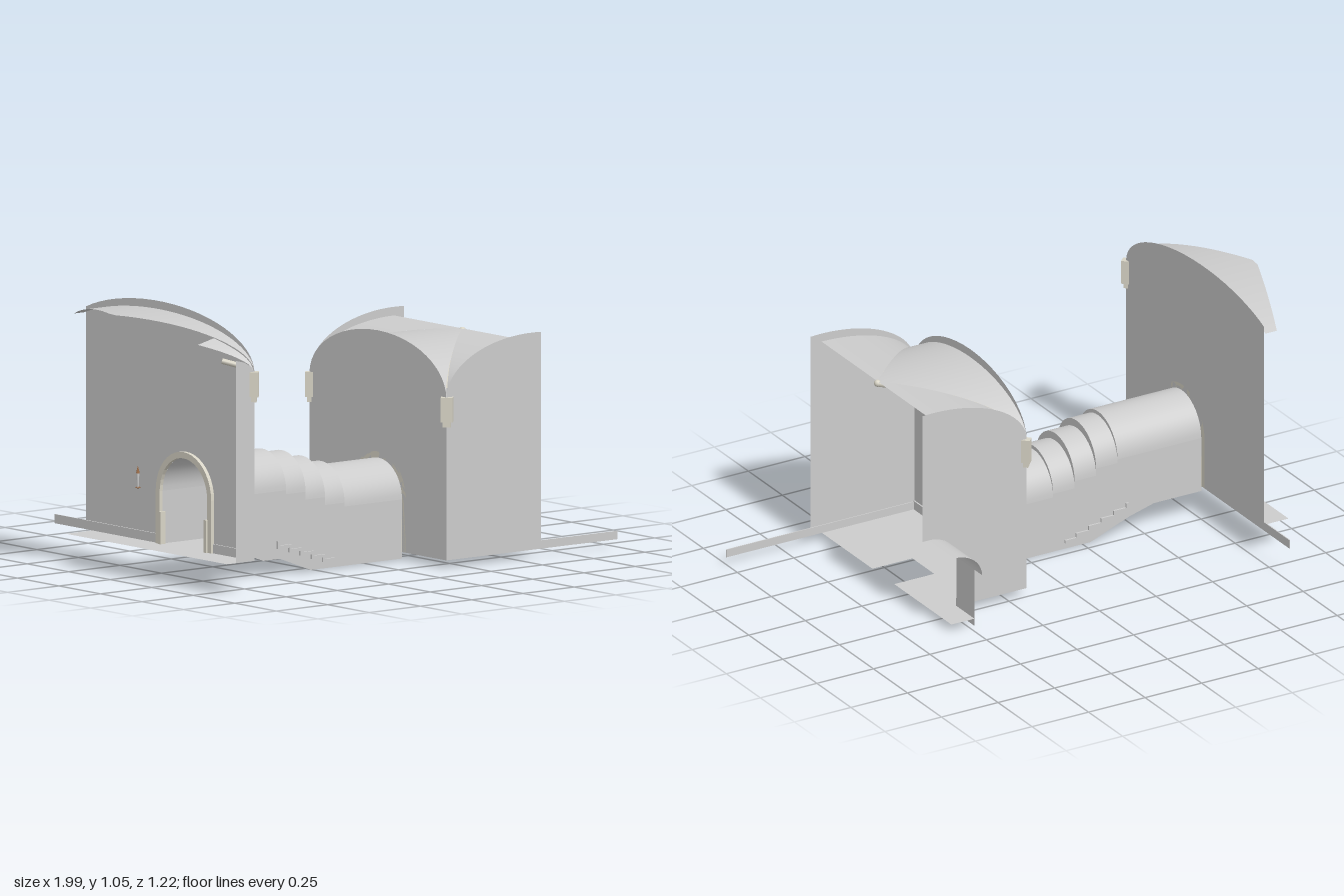
import * as THREE from 'three';

const paint = (color) => new THREE.MeshStandardMaterial({ color, side: THREE.DoubleSide });
const plaster = paint(0xcccccc), stone = paint(0xd8d4c6), wood = paint(0x9a6a44);
const DOOR_Z = 0.175, DOOR_R = 0.143;

function add(parent, name, geometry, material = plaster) {
  const mesh = new THREE.Mesh(geometry, material);
  mesh.name = name;
  parent.add(mesh);
  return mesh;
}

function box(parent, name, x0, x1, y0, y1, z0, z1, material = plaster) {
  const mesh = add(parent, name, new THREE.BoxGeometry(x1 - x0, y1 - y0, z1 - z0), material);
  mesh.position.set((x0 + x1) / 2, (y0 + y1) / 2, (z0 + z1) / 2);
  return mesh;
}

// Smooth sheet from a rule giving [x, y, z] for u, v in 0..1
function sheet(parent, name, nu, nv, rule) {
  const pos = [], index = [];
  for (let i = 0; i <= nu; i++) for (let j = 0; j <= nv; j++) pos.push(...rule(i / nu, j / nv));
  for (let i = 0; i < nu; i++) for (let j = 0; j < nv; j++) {
    const a = i * (nv + 1) + j, b = a + nv + 1;
    index.push(a, b, a + 1, b, b + 1, a + 1);
  }
  const g = new THREE.BufferGeometry();
  g.setAttribute('position', new THREE.Float32BufferAttribute(pos, 3));
  g.setIndex(index);
  g.computeVertexNormals();
  return add(parent, name, g);
}

const shapeOf = (pts) => new THREE.Shape(pts.map(([x, y]) => new THREE.Vector2(x, y)));

// Flat wall facing z
function wallZ(parent, name, pts, z) {
  add(parent, name, new THREE.ShapeGeometry(shapeOf(pts))).position.z = z;
}

// Flat or extruded outline drawn in (z, y) and set at a given x
function wallX(parent, name, shape, x, depth = 0, material = plaster) {
  const g = depth ? new THREE.ExtrudeGeometry(shape, { depth, bevelEnabled: false, curveSegments: 16 })
    : new THREE.ShapeGeometry(shape, 24);
  const mesh = add(parent, name, g, material);
  mesh.rotation.y = -Math.PI / 2;
  mesh.position.x = x;
}

// Flat floor from an (x, z) outline
function floor(parent, name, pts, y) {
  const mesh = add(parent, name, new THREE.ShapeGeometry(shapeOf(pts)));
  mesh.rotation.x = Math.PI / 2;
  mesh.position.y = y;
}

const arch = (t, spring, rise) => spring + rise * Math.sqrt(Math.max(0, 1 - t * t));

// Points of an arch between two positions along its span
function archLine(from, to, centre, half, spring, rise, n = 24) {
  const a = Math.asin((from - centre) / half), b = Math.asin((to - centre) / half);
  return Array.from({ length: n + 1 }, (_, i) => {
    const t = Math.sin(a + (b - a) * i / n);
    return [centre + half * t, arch(t, spring, rise)];
  });
}

// Round-headed outline of the doorway, open at its foot
function doorLine(r, foot, spring) {
  const pts = [[DOOR_Z - r, foot]];
  for (let i = 0; i <= 20; i++) {
    const a = Math.PI * (1 - i / 20);
    pts.push([DOOR_Z + r * Math.cos(a), spring + r * Math.sin(a)]);
  }
  return [...pts, [DOOR_Z + r, foot]];
}

// Wall with a doorway, stone surround and skirting on one side (dir)
function doorWall(parent, x, dir, z0, z1, foot, spring, top) {
  wallX(parent, 'doorWall', shapeOf([[z0, foot], ...doorLine(DOOR_R, foot, spring), [z1, foot], ...top]), x);
  const ring = shapeOf([...doorLine(0.167, foot, spring), ...doorLine(DOOR_R, foot, spring).reverse()]);
  wallX(parent, 'doorSurround', ring, dir > 0 ? x + 0.015 : x, 0.015, stone);
  const a = Math.min(x, x + dir * 0.006), b = a + 0.006;
  box(parent, 'skirting', a, b, foot, foot + 0.035, z0, DOOR_Z - 0.167);
  box(parent, 'skirting', a, b, foot, foot + 0.035, DOOR_Z + 0.167, z1);
  for (const s of [-1, 1])
    box(parent, 'surroundFoot', x + dir * 0.01 - 0.012, x + dir * 0.01 + 0.012, foot, foot + 0.125,
      DOOR_Z + s * 0.137 - 0.007, DOOR_Z + s * 0.137 + 0.007, stone);
  // Wall torch beside the door
  const torch = new THREE.Group();
  torch.name = 'wallTorch';
  torch.position.set(x + dir * 0.014, foot + 0.2, -0.1);
  add(torch, 'torchHandle', new THREE.CylinderGeometry(0.006, 0.003, 0.06, 8)).position.y = 0.03;
  add(torch, 'torchFlame', new THREE.ConeGeometry(0.007, 0.03, 8), wood).position.y = 0.07;
  add(torch, 'torchRing', new THREE.TorusGeometry(0.008, 0.002, 6, 10), wood).rotation.x = Math.PI / 2;
  parent.add(torch);
}

// Corbel set diagonally in a corner
function corbel(parent, x, y, z) {
  const g = new THREE.Group();
  g.name = 'corbel';
  g.position.set(x, y, z);
  g.rotation.y = Math.PI / 4;
  box(g, 'corbelBlock', -0.016, 0.016, 0.02, 0.115, -0.023, 0.023, stone);
  box(g, 'corbelFoot', -0.011, 0.011, 0, 0.02, -0.015, 0.015, stone);
  parent.add(g);
}

function rib(parent, points) {
  const curve = new THREE.CatmullRomCurve3(points.map((p) => new THREE.Vector3(...p)));
  add(parent, 'vaultRib', new THREE.TubeGeometry(curve, 20, 0.011, 6), stone);
}

function rightRoom(parent) {
  const g = new THREE.Group();
  g.name = 'rightRoom';
  parent.add(g);
  const x0 = 0.165, h = 0.412, xc = x0 + h, zc = 0.173, z0 = zc - h, z1 = zc + h, spring = 0.65, rise = 0.18;
  doorWall(g, x0, 1, z0, z1, 0.03, 0.232, archLine(z1, z0, zc, h, spring, 0.213));
  // End walls, rising slightly above the vault
  const top = archLine(0.626, x0, xc, h, spring, 0.213);
  wallZ(g, 'frontWall', [[x0, 0.03], [0.626, 0.03], ...top], z1);
  const cut = archLine(0.475, 0.6, 0.6, 0.125, 0.235, 0.1, 10);
  wallZ(g, 'backWall', [[x0, 0.03], [0.475, 0.03], ...cut, [0.626, 0.335], ...top], z0);
  box(g, 'skirting', x0, 1, 0.03, 0.062, z1 - 0.004, z1);
  box(g, 'skirting', x0, 0.475, 0.03, 0.062, z0, z0 + 0.004);
  // Half of a cross vault
  sheet(g, 'vaultSideWeb', 32, 10, (u, v) => {
    const t = Math.sin((u - 0.5) * Math.PI);
    return [x0 + v * h * (1 - Math.abs(t)), arch(t, spring, rise), zc + t * h];
  });
  for (const s of [-1, 1]) {
    sheet(g, 'vaultEndWeb', 20, 10, (u, v) => {
      const t = Math.sin((1 - u) * Math.PI / 2);
      return [xc - t * h, arch(t, spring, rise), zc + s * h * (t + v * (1 - t))];
    });
    rib(g, Array.from({ length: 13 }, (_, i) => {
      const t = Math.cos(i / 12 * Math.PI / 2) * 0.97;
      return [xc - t * h, arch(t, spring, rise) - 0.011, zc + s * t * h];
    }));
    corbel(g, x0 + 0.006, 0.54, zc + s * (h - 0.004));
  }
  add(g, 'vaultBoss', new THREE.SphereGeometry(0.014, 10, 8), stone).position.set(xc, 0.822, zc);
  floor(g, 'roomFloor', [[x0, z0], [0.475, z0], [0.475, -0.37], [xc, -0.37], [xc, 0.05], [0.4, 0.05],
    [0.4, 0.21], [xc, 0.21], [xc, z1], [x0, z1]], 0.03);
  // Side passage behind the back wall
  sheet(g, 'passageVault', 12, 1, (u, v) => {
    const a = u * Math.PI / 2;
    return [0.6 - 0.125 * Math.cos(a), 0.235 + 0.1 * Math.sin(a), z0 - v * 0.187];
  });
  wallX(g, 'passageWall', shapeOf([[-0.37, 0], [z0, 0], [z0, 0.235], [-0.37, 0.235]]), 0.475);
}

function corridor(parent) {
  const g = new THREE.Group();
  g.name = 'corridor';
  parent.add(g);
  const parts = [[-0.77, -0.4, 0.465], [-0.4, -0.305, 0.45], [-0.305, -0.21, 0.42],
    [-0.21, -0.115, 0.39], [-0.115, 0.165, 0.375]];
  const ceiling = [];
  parts.forEach(([a, b, top], i) => {
    const spring = top - DOOR_R;
    ceiling.unshift([b, spring], [a, spring]);
    sheet(g, 'barrelVault', 24, 1, (u, v) => [a + (b - a) * v,
      spring + DOOR_R * Math.sin(u * Math.PI), DOOR_Z - DOOR_R * Math.cos(u * Math.PI)]);
    if (i === 0) return;
    // Upright crescent between neighbouring vaults
    const high = parts[i - 1][2] - DOOR_R;
    sheet(g, 'vaultStep', 24, 1, (u, v) => [a, spring + (high - spring) * v + DOOR_R * Math.sin(u * Math.PI),
      DOOR_Z - DOOR_R * Math.cos(u * Math.PI)]);
  });
  for (const s of [-1, 1])
    wallZ(g, 'corridorWall', [[-0.77, 0.1], [-0.56, 0.1], [-0.45, 0.07], [-0.28, 0.005], [0.165, 0.005], ...ceiling],
      DOOR_Z + s * DOOR_R);
  // Floor with its flight of steps, and stepped skirting on both sides
  const steps = [[-0.77, 0.12], [-0.44, 0.12]];
  for (let i = 0; i < 5; i++) {
    const x = -0.44 + i * 0.055, y = 0.12 - (i + 1) * 0.018;
    steps.push([x, y], [x + 0.055, y]);
    for (const s of [-1, 1]) {
      const z = DOOR_Z + s * 0.144;
      box(g, 'stepSkirting', x, x + 0.055, y, y + 0.012, z - 0.007, z + 0.007);
      box(g, 'stepSkirting', x - 0.006, x + 0.006, y, y + 0.03, z - 0.007, z + 0.007);
    }
  }
  steps.push([0.165, 0.03]);
  for (let i = 1; i < steps.length; i++) {
    const [a, b] = [steps[i - 1], steps[i]];
    sheet(g, 'corridorFloor', 1, 1, (u, v) => [a[0] + (b[0] - a[0]) * v, a[1] + (b[1] - a[1]) * v,
      DOOR_Z + (u * 2 - 1) * DOOR_R]);
  }
}

function leftRoom(parent) {
  const g = new THREE.Group();
  g.name = 'leftRoom';
  parent.add(g);
  const x0 = -0.77, zc = 0.01, h = 0.575, z0 = -0.43, z1 = 0.585, spring = 0.84, rise = 0.176;
  doorWall(g, x0, -1, z0, z1, 0.12, 0.322, archLine(z1, z0, zc, h, spring, 0.207));
  box(g, 'skirting', x0 - 0.004, x0, 0.12, 0.155, -0.615, z0);
  wallZ(g, 'frontWall', [[x0, 0.12], [x0, spring], [-0.785, 0.865], [-0.82, 0.885], [-0.86, 0.895], [-0.86, 0.12]], z1);
  floor(g, 'roomFloor', [[-0.905, -0.385], [x0, -0.385], [x0, z1], [-0.905, z1]], 0.12);
  // Remaining webs of the cross vault
  const a0 = Math.asin((z0 - 0.01 - zc) / h);
  sheet(g, 'vaultSideWeb', 32, 10, (u, v) => {
    const t = Math.sin(a0 + (Math.PI / 2 - a0) * u);
    return [x0 - 0.23 * v * (1 - Math.abs(t)), arch(t, spring, rise), zc + t * h];
  });
  sheet(g, 'vaultEndWeb', 10, 4, (u, v) => [x0 - u * (0.065 + 0.07 * v),
    spring + Math.sqrt(u) * (0.12 - 0.02 * v), z1 - u * (0.165 + 0.01 * v)]);
  rib(g, [[-0.775, 0.83, 0.58], [-0.8, 0.86, 0.555], [-0.86, 0.885, 0.5]]);
  corbel(g, x0 - 0.006, 0.73, z1 - 0.004);
}

export function createModel() {
  const model = new THREE.Group();
  model.name = 'vaultedRooms';
  leftRoom(model);
  corridor(model);
  rightRoom(model);
  return model;
}
